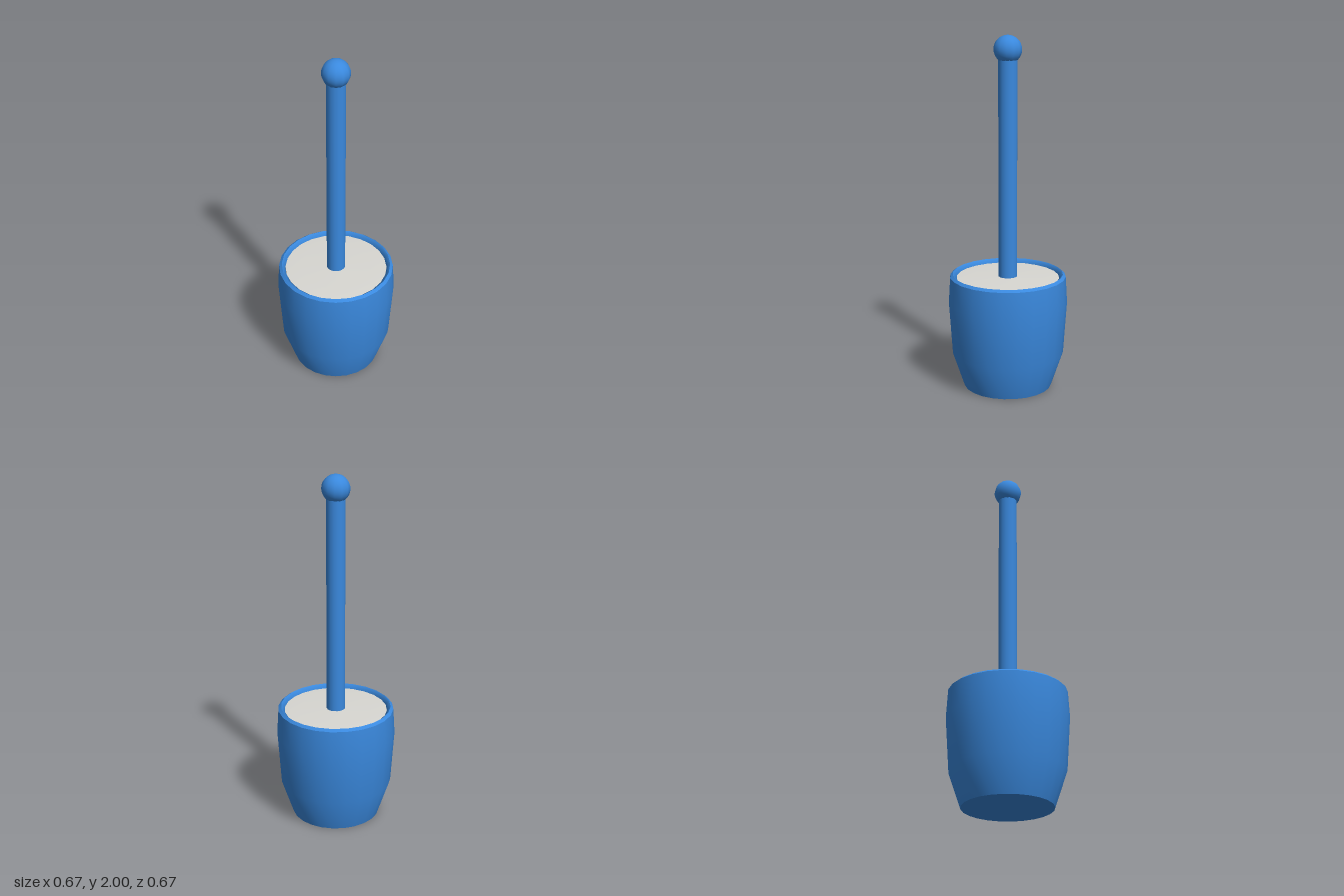
import * as THREE from 'three';

export function createModel() {
  const blue = new THREE.MeshStandardMaterial({ color: 0x3a89de });
  blue.name = 'blue plastic';
  const white = new THREE.MeshStandardMaterial({ color: 0xd8d7d2 });
  white.name = 'off-white bristle';

  const model = new THREE.Group();
  model.name = 'brushAndHolder';

  const add = (name, geometry, material, y = 0) => {
    const mesh = new THREE.Mesh(geometry, material);
    mesh.name = name;
    mesh.position.y = y;
    model.add(mesh);
  };
  // Profiles run from the underside outwards and up, as [radius, height]
  const lathe = (points, sides = 24) =>
    new THREE.LatheGeometry(points.map(([r, y]) => new THREE.Vector2(r, y)), sides);

  // Holder: flat base, tapered wall and a bevelled lip, kept apart for crisp edges
  add('holderBase', lathe([[0, 0], [0.25, 0]]), blue);
  add('holderWall', lathe([[0.25, 0], [0.317, 0.2], [0.337, 0.5], [0.328, 0.647]]), blue);
  add('lipOuterBevel', lathe([[0.328, 0.647], [0.312, 0.66]]), blue);
  add('lipInnerBevel', lathe([[0.312, 0.66], [0.293, 0.642], [0.293, 0.6]]), blue);

  // Brush head filling the holder's mouth
  add('brushHead', lathe([[0.291, 0.6], [0.291, 0.638]]), white);
  add('brushHeadTop', lathe([[0.291, 0.638], [0.2, 0.643], [0, 0.646]]), white);

  // Handle with a ball grip
  add('handle', new THREE.CylinderGeometry(0.053, 0.053, 1.27, 16, 1, true), blue, 1.255);
  add('handleBall', new THREE.SphereGeometry(0.078, 12, 16).rotateY(Math.PI / 2), blue, 1.922);

  return model;
}
